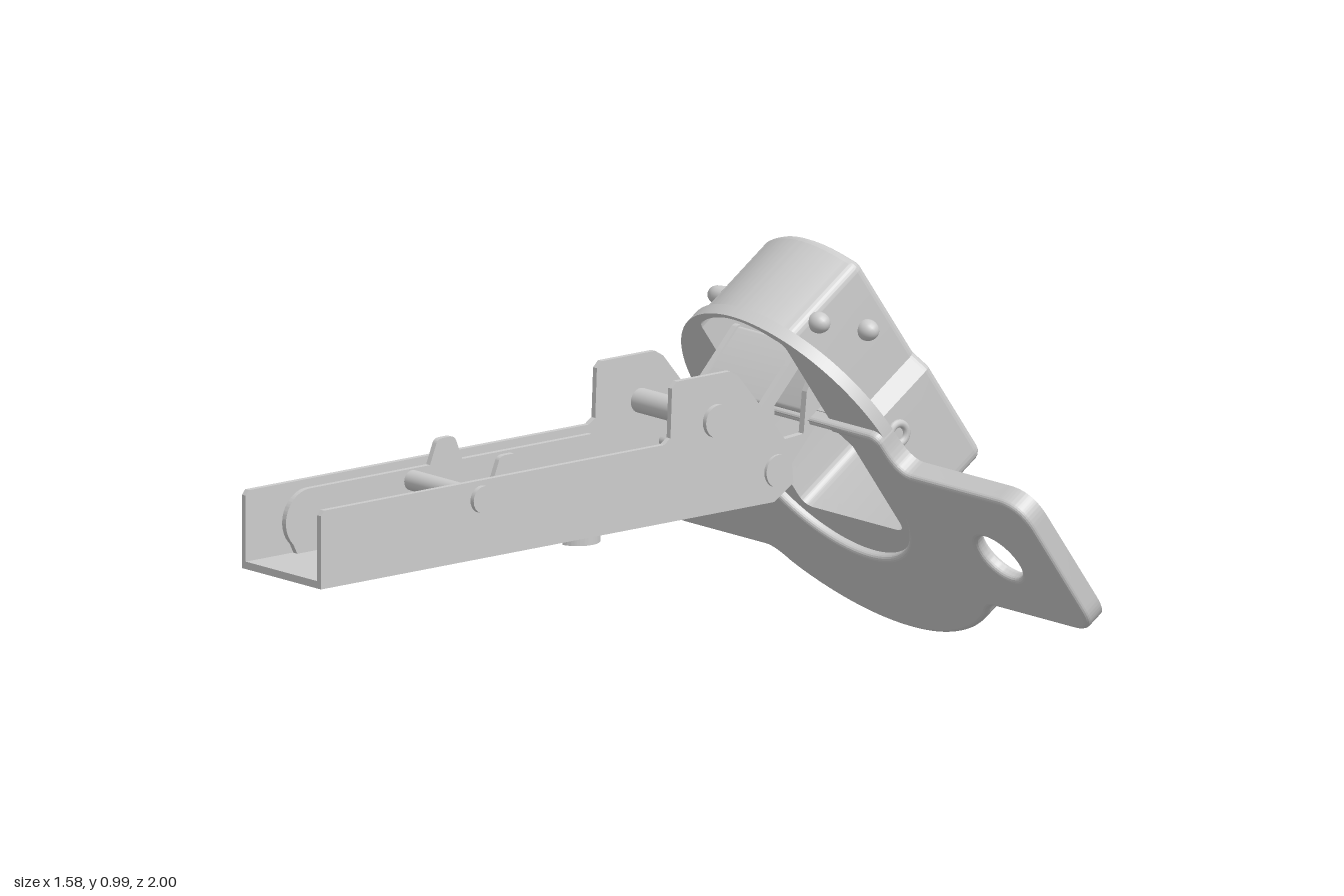
import * as THREE from 'three';
import { toCreasedNormals } from 'three/addons/utils/BufferGeometryUtils.js';

const grey = new THREE.MeshStandardMaterial({ color: 0xcccccc, side: THREE.DoubleSide });

function add(parent, name, geometry) {
  const mesh = new THREE.Mesh(geometry, grey);
  mesh.name = name;
  parent.add(mesh);
}

// Extrusion between two depths, with an optional rounded edge
function slab(shape, back, front, bevel = 0) {
  const geo = new THREE.ExtrudeGeometry(shape, {
    depth: front - back - 2 * bevel, curveSegments: 40, bevelEnabled: bevel > 0,
    bevelThickness: bevel, bevelSize: bevel, bevelOffset: -bevel, bevelSegments: 4,
  });
  geo.translate(0, 0, back + bevel);
  return toCreasedNormals(geo, 0.19);
}

const polygon = (pts) => new THREE.Shape(pts.map(([a, b]) => new THREE.Vector2(a, b)));

function circle(x, y, r) {
  const path = new THREE.Path();
  path.absarc(x, y, r, 0, Math.PI * 2, true);
  return path;
}

// Plate lying in the side plane: shape coordinates are (z, y), centred on x
function sidePlate(shape, x, t) {
  return slab(shape, -t / 2, t / 2).rotateY(-Math.PI / 2).translate(x, 0, 0);
}

// Level plate with its top at y: shape coordinates are (x, z)
function floorPlate(shape, y, t) {
  return slab(shape, 0, t).rotateX(Math.PI / 2).translate(0, y, 0);
}

// Cylinder along x
function pin(r, x0, x1, y, z) {
  return new THREE.CylinderGeometry(r, r, x1 - x0, 24)
    .rotateZ(Math.PI / 2).translate((x0 + x1) / 2, y, z);
}

// Rounded bar shape between two (z, y) points
function bar([z0, y0], [z1, y1], r) {
  const a = Math.atan2(y1 - y0, z1 - z0), s = new THREE.Shape();
  s.absarc(z0, y0, r, a + Math.PI / 2, a + Math.PI * 1.5, false);
  s.absarc(z1, y1, r, a - Math.PI / 2, a + Math.PI / 2, false);
  return s;
}

// Mounting flange outline, inset by d
function flangeOutline(d) {
  const s = new THREE.Shape(), c = 0.08;
  const ear = 0.79 - d, low = 0.173 + d, high = 0.597 - d, neck = 0.345 - d, top = 0.715 - d;
  s.moveTo(neck - 0.03, top);
  s.lineTo(-neck + 0.03, top);
  s.quadraticCurveTo(-neck, top, -neck, top - 0.03);
  s.quadraticCurveTo(-neck, high, -neck - 0.05, high);
  s.lineTo(-ear + c, high);
  s.quadraticCurveTo(-ear, high, -ear, high - c);
  s.lineTo(-ear, low + c);
  s.quadraticCurveTo(-ear, low, -ear + c, low);
  s.lineTo(-0.42, low);
  s.quadraticCurveTo(-0.39, low, -0.36, 0.133 + d);
  const a = Math.asin(0.335 / 0.556);
  s.absarc(0, 0.556, 0.556 - d, -Math.PI / 2 - a, -Math.PI / 2 + a, false);
  s.lineTo(0.36, 0.133 + d);
  s.quadraticCurveTo(0.39, low, 0.42, low);
  s.lineTo(ear - c, low);
  s.quadraticCurveTo(ear, low, ear, low + c);
  s.lineTo(ear, high - c);
  s.quadraticCurveTo(ear, high, ear - c, high);
  s.lineTo(neck + 0.05, high);
  s.quadraticCurveTo(neck, high, neck, top - 0.03);
  s.quadraticCurveTo(neck, top, neck - 0.03, top);
  return s;
}

// Cup outline: wide below, narrow above with a bowed end
function cupOutline(d) {
  const s = new THREE.Shape(), w = 0.196 - d, n = 0.166 - d, b = 0.335 + d, c = 0.035;
  s.moveTo(-w + c, b);
  s.lineTo(w - c, b);
  s.quadraticCurveTo(w, b, w, b + c);
  s.lineTo(w, 0.63);
  s.lineTo(n, 0.67);
  s.lineTo(n, 0.945 - d);
  s.quadraticCurveTo(n, 0.97 - d, n - 0.025, 0.978 - d);
  s.quadraticCurveTo(0, 1.052 - d, -n + 0.025, 0.978 - d);
  s.quadraticCurveTo(-n, 0.97 - d, -n, 0.945 - d);
  s.lineTo(-n, 0.67);
  s.lineTo(-w, 0.63);
  s.lineTo(-w, b + c);
  s.quadraticCurveTo(-w, b, -w + c, b);
  return s;
}

function makeCup() {
  const cup = new THREE.Group();
  cup.name = 'cupAssembly';

  // Flange with a thin rim at the back and a U-shaped recess
  const face = flangeOutline(0), rim = flangeOutline(0);
  const recess = new THREE.Path();
  recess.moveTo(-0.27, 0.69);
  recess.lineTo(-0.27, 0.51);
  recess.absarc(0, 0.51, 0.27, Math.PI, Math.PI * 2, false);
  recess.lineTo(0.27, 0.69);
  recess.lineTo(0.17, 0.69);
  recess.lineTo(0.17, 0.705);
  recess.lineTo(-0.17, 0.705);
  recess.lineTo(-0.17, 0.69);
  face.holes.push(recess, circle(-0.565, 0.37, 0.068), circle(0.565, 0.37, 0.068));
  rim.holes.push(flangeOutline(0.014));
  add(cup, 'flange', slab(face, -0.035, 0, 0.012));
  add(cup, 'flangeRim', slab(rim, -0.055, -0.014));

  // Disc behind the flange, open into the cup
  const disc = new THREE.Shape();
  disc.absarc(0, 0.67, 0.345, 0, Math.PI, false);
  disc.lineTo(-0.345, 0.62);
  disc.lineTo(-0.29, 0.62);
  disc.absarc(0, 0.52, 0.29, Math.PI, Math.PI * 2, false);
  disc.lineTo(0.29, 0.62);
  disc.lineTo(0.345, 0.62);
  disc.holes.push(cupOutline(0.01));
  add(cup, 'disc', slab(disc, -0.055, -0.022));

  // Hollow cup
  const wall = cupOutline(0);
  wall.holes.push(cupOutline(0.01));
  add(cup, 'cupWall', slab(wall, -0.285, -0.024));
  add(cup, 'cupBack', slab(cupOutline(0), -0.308, -0.258, 0.025));

  // Pivot ends, side screws and the wire loop
  for (const [v, w] of [[0.94, -0.124], [0.82, -0.224]]) {
    add(cup, 'cupPivot', pin(0.018, -0.17, 0.17, v, w));
    add(cup, 'pivotEnd', new THREE.SphereGeometry(0.026, 20, 12).scale(1.2, 1, 1).translate(0.172, v, w));
  }
  for (const s of [-1, 1]) {
    add(cup, 'sideScrew', new THREE.TorusGeometry(0.025, 0.01, 10, 24)
      .rotateY(Math.PI / 2).translate(s * 0.196, 0.565, -0.137));
  }
  const loop = new THREE.CatmullRomCurve3([
    [-0.15, 0.94, -0.124], [-0.2, 0.94, -0.124], [-0.222, 0.92, -0.14],
    [-0.222, 0.84, -0.208], [-0.2, 0.82, -0.224], [-0.15, 0.82, -0.224],
  ].map((p) => new THREE.Vector3(...p)));
  add(cup, 'wireLoop', new THREE.TubeGeometry(loop, 40, 0.022, 14));

  cup.position.set(0, -0.006, -0.952);
  cup.rotation.x = 0.61;
  return cup;
}

export function createModel() {
  const model = new THREE.Group();
  model.name = 'cabinetHinge';
  model.add(makeCup());

  // Arm channel: pierced floor and two profiled walls
  const slot = new THREE.Path();
  slot.moveTo(-0.055, 0.24);
  slot.lineTo(0.055, 0.24);
  slot.quadraticCurveTo(0.075, 0.24, 0.075, 0.27);
  slot.lineTo(0.075, 0.385);
  slot.absarc(0, 0.385, 0.075, 0, Math.PI, false);
  slot.lineTo(-0.075, 0.27);
  slot.quadraticCurveTo(-0.075, 0.24, -0.055, 0.24);
  const floor = polygon([[-0.145, -0.4], [0.145, -0.4], [0.145, 1], [-0.145, 1]]);
  floor.holes.push(slot);
  add(model, 'armFloor', floorPlate(floor, 0.43, 0.018));
  const side = polygon([[1, 0.412], [1, 0.59], [0.99, 0.602], [-0.06, 0.602], [-0.08, 0.615],
    [-0.085, 0.735], [-0.1, 0.75], [-0.265, 0.75], [-0.29, 0.735], [-0.36, 0.65], [-0.45, 0.54],
    [-0.46, 0.45], [-0.4, 0.412]]);

  // Inner adjusting channel with a keyhole for the screw
  const keyhole = new THREE.Path();
  keyhole.absarc(0, 0.085, 0.05, Math.PI * 0.75, Math.PI * 2.25, false);
  keyhole.absarc(0, 0.155, 0.035, 0, Math.PI, false);
  const innerFloor = polygon([[-0.115, -0.02], [0.115, -0.02], [0.115, 0.77], [-0.115, 0.77]]);
  innerFloor.holes.push(slot, keyhole);
  add(model, 'innerFloor', floorPlate(innerFloor, 0.45, 0.018));
  const innerSide = new THREE.Shape();
  innerSide.moveTo(-0.05, 0.432);
  innerSide.lineTo(0.86, 0.432);
  innerSide.absarc(0.82, 0.51, 0.075, -0.8, Math.PI / 2, false);
  innerSide.lineTo(0.45, 0.585);
  innerSide.lineTo(0.43, 0.635);
  innerSide.quadraticCurveTo(0.425, 0.645, 0.41, 0.645);
  innerSide.lineTo(0.39, 0.645);
  innerSide.quadraticCurveTo(0.375, 0.645, 0.37, 0.635);
  innerSide.lineTo(0.35, 0.585);
  innerSide.lineTo(-0.05, 0.585);

  // Links between arm and cup
  const outerLink = bar([-0.29, 0.53], [-0.51, 0.765], 0.015);
  const innerLink = polygon([[-0.4, 0.44], [-0.455, 0.44], [-0.59, 0.59], [-0.67, 0.78],
    [-0.62, 0.8], [-0.54, 0.65], [-0.53, 0.55], [-0.4, 0.54]]);
  for (const s of [-1, 1]) {
    add(model, 'armWall', sidePlate(side, s * 0.138, 0.014));
    add(model, 'innerWall', sidePlate(innerSide, s * 0.115, 0.014));
    add(model, 'outerLinkSide', sidePlate(outerLink, s * 0.12, 0.018));
    add(model, 'innerLinkSide', sidePlate(innerLink, s * 0.09, 0.018));
  }
  add(model, 'outerLinkWeb', sidePlate(bar([-0.4, 0.648], [-0.51, 0.765], 0.01), 0, 0.24));
  add(model, 'innerLinkWeb', sidePlate(bar([-0.56, 0.6], [-0.64, 0.77], 0.012), 0, 0.17));

  // Cross pins with riveted heads
  for (const [z, y, r] of [[0.505, 0.557, 0.033], [-0.22, 0.637, 0.04], [-0.41, 0.487, 0.04]]) {
    const reach = z < -0.3 ? 0.146 : 0.15;
    add(model, 'crossPin', pin(r * 0.75, -reach, reach, y, z));
    for (const s of [-1, 1]) {
      add(model, 'pinHead', pin(r, s * reach - 0.007, s * reach + 0.007, y, z));
    }
  }
  add(model, 'springPin', pin(0.025, -0.11, 0.11, 0.6, -0.31));
  add(model, 'spring', new THREE.BoxGeometry(0.12, 0.11, 0.025).translate(0, 0.6, -0.46));

  // Adjusting screw: threaded shaft, domed head and slotted tip
  const profile = [[0, 0.38], [0.042, 0.38]];
  for (let i = 0; i < 5; i++) {
    const y = 0.382 + i * 0.024;
    profile.push([0.042, y], [0.056, y + 0.008], [0.056, y + 0.014], [0.042, y + 0.022]);
  }
  profile.push([0.045, 0.505], [0.03, 0.52], [0, 0.52]);
  add(model, 'adjustingScrew', toCreasedNormals(
    new THREE.LatheGeometry(profile.map((p) => new THREE.Vector2(...p)), 28), 0.5).translate(0, 0, 0.085));
  const tip = new THREE.Shape();
  tip.absarc(0, 0, 0.054, 0.15, Math.PI - 0.15, false);
  for (const turn of [-1, 1]) {
    add(model, 'screwTip', floorPlate(tip, 0, 0.019)
      .rotateY(turn * Math.PI / 2).translate(0, 0.384, 0.085));
  }
  return model;
}
